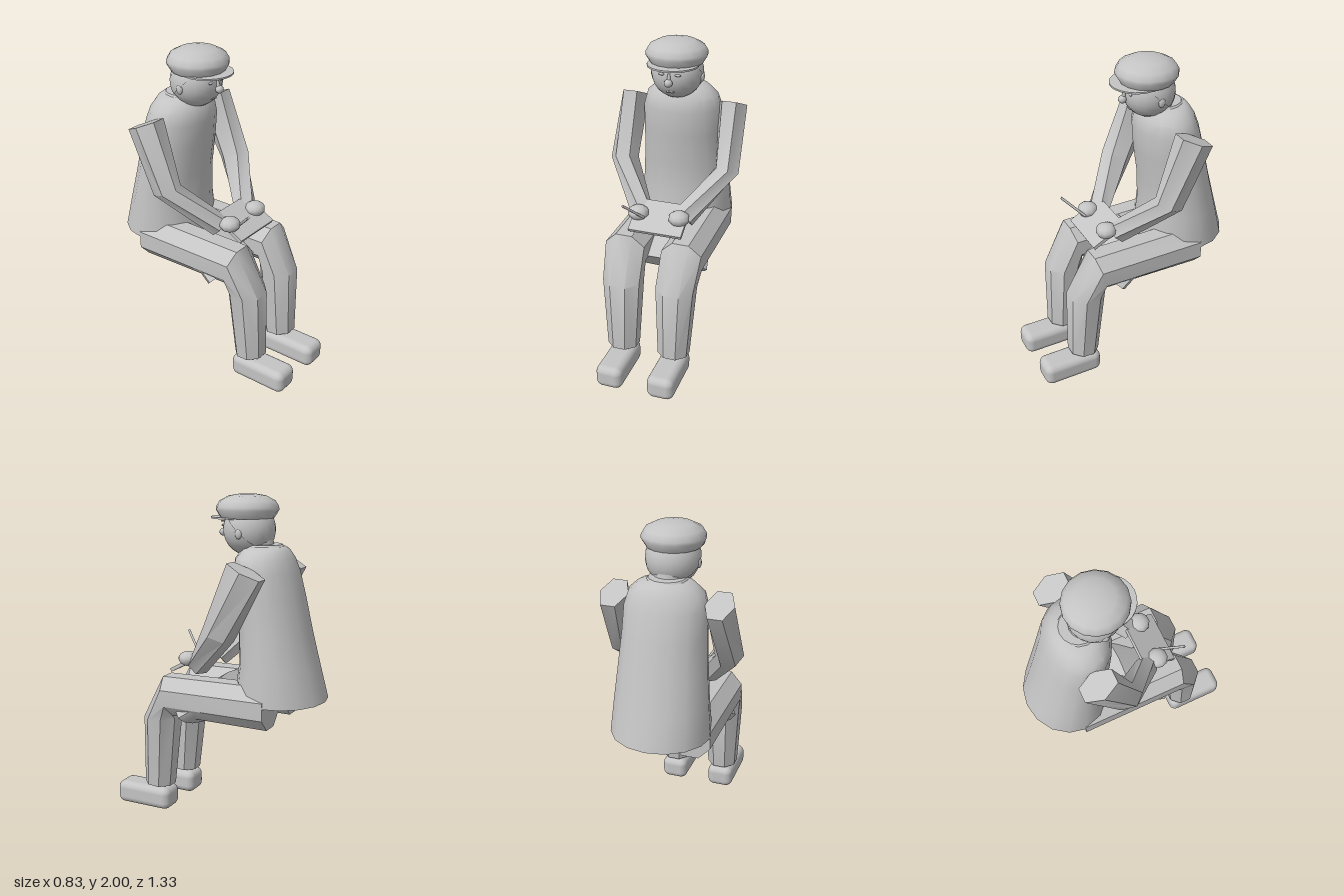
import * as THREE from 'three';
import { toCreasedNormals } from 'three/addons/utils/BufferGeometryUtils.js';
import { RoundedBoxGeometry } from 'three/addons/geometries/RoundedBoxGeometry.js';

const V = (a) => new THREE.Vector3(...a);

// Skins rings of the form [centre, u, v]; u x v points along the path. side = -1 mirrors in x.
function sweep(rings, sides, { side = 1, offset = 0, crease = 0.7 } = {}) {
  const pos = [], idx = [];
  const tri = (a, b, c) => (side > 0 ? idx.push(a, b, c) : idx.push(a, c, b));
  const put = (p) => pos.push(p.x * side, p.y, p.z);
  for (const [c, u, v] of rings) {
    for (let i = 0; i < sides; i++) {
      const a = ((i + offset) / sides) * Math.PI * 2;
      put(V(c).addScaledVector(V(u), Math.cos(a)).addScaledVector(V(v), Math.sin(a)));
    }
  }
  const last = (rings.length - 1) * sides;
  for (let r = 0; r < last; r += sides) {
    for (let i = 0; i < sides; i++) {
      const j = (i + 1) % sides;
      tri(r + i, r + j, r + sides + j);
      tri(r + i, r + sides + j, r + sides + i);
    }
  }
  // End caps
  const start = rings.length * sides;
  put(V(rings[0][0]));
  put(V(rings[rings.length - 1][0]));
  for (let i = 0; i < sides; i++) {
    const j = (i + 1) % sides;
    tri(start, j, i);
    tri(start + 1, last + i, last + j);
  }
  const g = new THREE.BufferGeometry();
  g.setAttribute('position', new THREE.Float32BufferAttribute(pos, 3));
  g.setIndex(idx);
  return toCreasedNormals(g, crease);
}

export function createModel() {
  const model = new THREE.Group();
  model.name = 'seatedFigure';
  const grey = new THREE.MeshStandardMaterial({ color: 0xc4c4c4 });
  grey.name = 'stone grey';

  const add = (name, geometry, p = [0, 0, 0], scale = [1, 1, 1]) => {
    const m = new THREE.Mesh(geometry, grey);
    m.name = name;
    m.position.set(...p);
    m.scale.set(...scale);
    model.add(m);
    return m;
  };
  const ball = (name, p, r, seg = 16) =>
    add(name, new THREE.SphereGeometry(1, seg, Math.round(seg * 0.7)), p, r);

  // Coat: elliptical rings as [height, half width, front z, back z]
  const coat = [
    [0.79, 0.305, -0.105, -0.665], [1.0, 0.287, -0.135, -0.607], [1.2, 0.27, -0.13, -0.555],
    [1.4, 0.255, -0.1, -0.51], [1.55, 0.25, -0.09, -0.47], [1.63, 0.225, -0.1, -0.44],
    [1.68, 0.17, -0.135, -0.41], [1.7, 0.12, -0.16, -0.385],
  ].map(([y, rx, f, b]) => [[0, y, (f + b) / 2], [0, 0, (f - b) / 2], [rx, 0, 0]]);
  add('coat', sweep(coat, 16));

  // Lap: tilted oval block between the thighs
  add('lap', sweep([
    [[0, 0.83, -0.09], [0.26, 0, 0], [0, 0.07, 0.07]],
    [[0, 0.66, 0.165], [0.305, 0, 0], [0, 0.072, 0.072]],
  ], 16));

  for (const side of [1, -1]) {
    const label = side > 0 ? 'left' : 'right';

    // Eight-sided trouser leg from hip over knee to ankle
    add(label + 'Leg', sweep([
      [[0.18, 0.77, -0.39], [0.135, 0, 0], [0, 0.141, 0]],
      [[0.18, 0.768, 0.28], [0.135, 0, 0], [0, 0.132, 0.033]],
      [[0.17, 0.615, 0.35], [0.127, 0, 0], [0, -0.005, 0.119]],
      [[0.165, 0.165, 0.38], [0.1, 0, 0], [0, 0.005, 0.097]],
    ], 8, { side, offset: 0.5 }));

    add(label + 'Shoe', new RoundedBoxGeometry(0.17, 0.145, 0.38, 3, 0.045), [0.165 * side, 0.0725, 0.475]);

    // Six-sided sleeve from shoulder over elbow to wrist
    add(label + 'Sleeve', sweep([
      [[0.317, 1.585, -0.29], [0.088, 0, 0], [0, 0.052, 0.115]],
      [[0.335, 1.21, -0.125], [0.08, 0, 0.03], [-0.015, 0.038, 0.086]],
      [[0.135, 0.965, 0.11], [0.055, 0, 0.045], [-0.028, 0.055, 0.033]],
    ], 6, { side }));

    ball(label + 'Hand', [0.13 * side, 0.995, 0.185], [0.066, 0.046, 0.064], 10);

    // Ear, eye and brow
    ball(label + 'Ear', [0.155 * side, 1.775, -0.165], [0.014, 0.03, 0.022], 10);
    ball(label + 'Eye', [0.05 * side, 1.815, -0.016], [0.02, 0.008, 0.008], 8);
    add(label + 'Brow', new THREE.BoxGeometry(0.05, 0.008, 0.009), [0.05 * side, 1.84, -0.016]);
  }

  // Head, nose and mouth
  add('neck', new THREE.CylinderGeometry(0.09, 0.11, 0.12, 16), [0, 1.68, -0.22]);
  add('collar', new THREE.CylinderGeometry(0.11, 0.135, 0.03, 16), [0, 1.695, -0.26]);
  ball('head', [0, 1.795, -0.16], [0.157, 0.157, 0.153], 20);
  ball('nose', [0, 1.77, 0.008], [0.026, 0.024, 0.025], 10);
  add('noseBridge', new THREE.CylinderGeometry(0.006, 0.015, 0.06, 8), [0, 1.8, -0.002]).rotation.x = -0.2;
  add('mouth', new THREE.BoxGeometry(0.045, 0.007, 0.009), [0, 1.705, -0.035]);

  // Hair: half shell tilted to the back of the head
  const hair = new THREE.SphereGeometry(0.163, 20, 8, 0, Math.PI * 2, 0, Math.PI / 2);
  add('hair', hair, [0, 1.79, -0.157]).rotation.x = -0.75;

  // Flat cap with a short thin brim
  const profile = [[0, 1.86], [0.16, 1.86], [0.187, 1.905], [0.186, 1.925], [0.165, 1.96], [0.11, 1.988], [0.05, 1.998], [0, 2]]
    .map(([x, y]) => new THREE.Vector2(x, y));
  add('cap', toCreasedNormals(new THREE.LatheGeometry(profile, 16), 0.7), [0, 0, -0.15]);
  add('brim', new THREE.CylinderGeometry(0.155, 0.155, 0.01, 24), [0, 1.86, -0.08]);

  // Drawing board resting on the knees
  add('board', new THREE.BoxGeometry(0.335, 0.022, 0.235), [0.008, 0.975, 0.185]).rotation.x = 0.5;

  // Pencil in the right hand
  const a = V([-0.08, 0.985, 0.225]), b = V([-0.168, 1.105, 0.345]);
  const pencil = add('pencil', new THREE.CylinderGeometry(0.008, 0.008, a.distanceTo(b), 8));
  pencil.position.lerpVectors(a, b, 0.5);
  pencil.quaternion.setFromUnitVectors(V([0, 1, 0]), b.clone().sub(a).normalize());

  return model;
}
